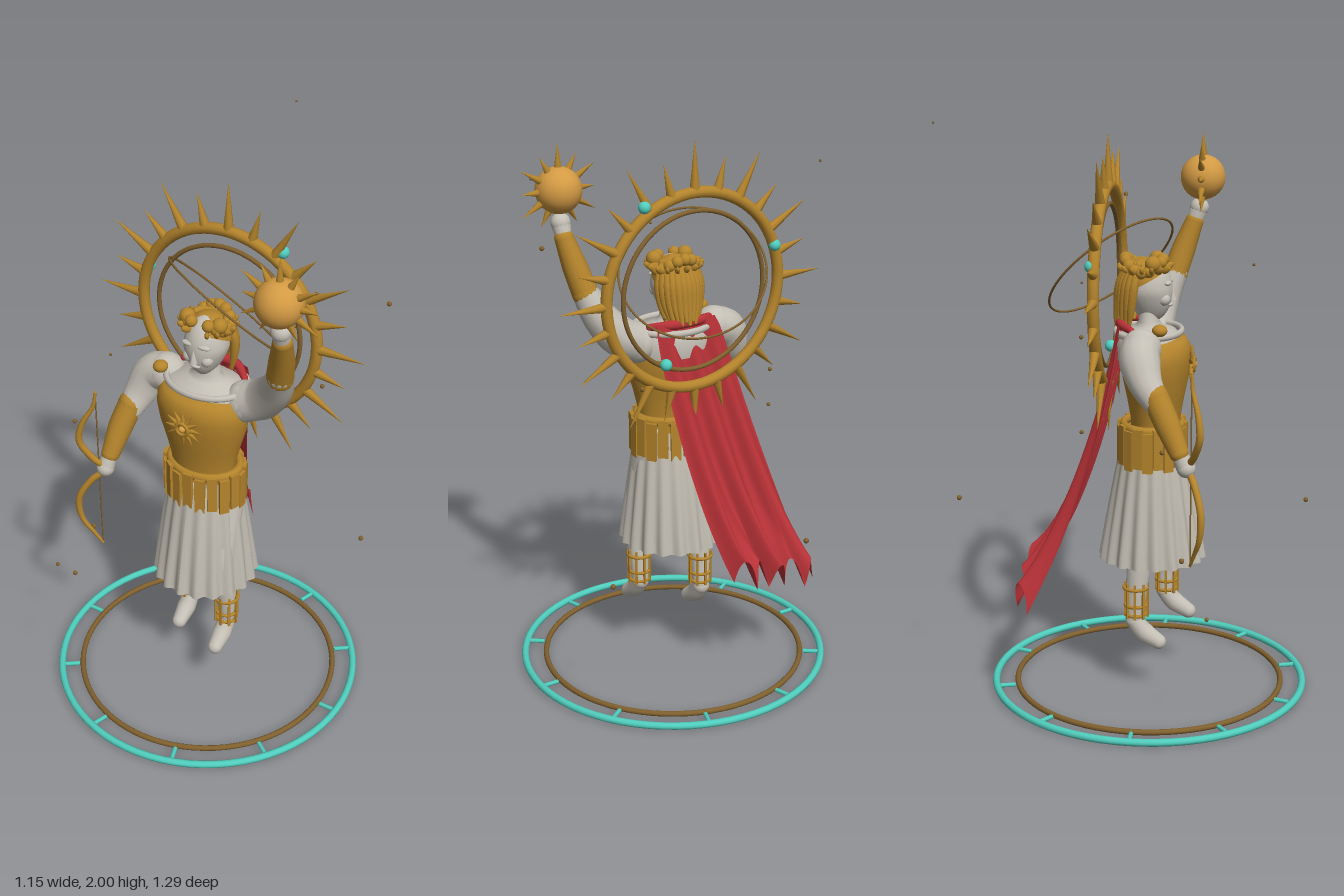
import * as THREE from 'three';

const mat = (name, color, side = THREE.FrontSide) => {
  const m = new THREE.MeshStandardMaterial({ color, side });
  m.name = name;
  return m;
};
const V = (x, y, z) => new THREE.Vector3(x, y, z);

export function createModel() {
  const gold = mat('gold', 0xb4842c), bright = mat('bright gold', 0xd39a44);
  const bronze = mat('bronze', 0x80602e), teal = mat('turquoise', 0x50cdbd);
  const marble = mat('marble', 0xc4bfb5), cloth = mat('marble cloth', 0xc0bbb0, THREE.DoubleSide);
  const red = mat('red cloth', 0xb83237, THREE.DoubleSide);
  const root = new THREE.Group();

  const add = (name, geo, m, p = [0, 0, 0], s = [1, 1, 1], r = [0, 0, 0], parent = root) => {
    const mesh = new THREE.Mesh(geo, m);
    mesh.name = name;
    mesh.position.set(...p);
    mesh.scale.set(...s);
    mesh.rotation.set(...r);
    parent.add(mesh);
    return mesh;
  };
  const ball = (name, m, p, r, s = [1, 1, 1]) => add(name, new THREE.SphereGeometry(r, 24, 16), m, p, s);
  const ring = (name, m, p, R, t, r = [0, 0, 0], s = [1, 1, 1]) =>
    add(name, new THREE.TorusGeometry(R, t, 10, 72), m, p, s, r);
  const lathe = (name, m, pts, p, s) =>
    add(name, new THREE.LatheGeometry(pts.map(q => new THREE.Vector2(...q)), 48), m, p, s);
  // Tube along points whose radius changes from point to point, with rounded ends
  const limb = (name, m, pts, radii, seg = 24) => {
    const curve = new THREE.CatmullRomCurve3(pts.map(q => V(...q)));
    const geo = new THREE.TubeGeometry(curve, seg, 1, 14);
    const pos = geo.attributes.position, v = V(), last = radii.length - 1;
    for (let i = 0; i < pos.count; i++) {
      const t = Math.floor(i / 15) / seg, c = curve.getPointAt(t);
      const k = Math.min(Math.floor(t * last), last - 1);
      const r = THREE.MathUtils.lerp(radii[k], radii[k + 1], t * last - k);
      v.fromBufferAttribute(pos, i).sub(c).multiplyScalar(r).add(c);
      pos.setXYZ(i, v.x, v.y, v.z);
    }
    add(name, geo, m);
    ball(name + 'Start', m, pts[0], radii[0]);
    ball(name + 'End', m, pts[pts.length - 1], radii[last]);
  };
  // Cones pointing outwards in the xy plane
  const spikes = (name, m, c, n, r0, len, rad) => {
    for (let i = 0; i < n; i++) {
      const a = Math.PI / 2 + i / n * Math.PI * 2, l = len(i), d = r0 + l / 2;
      add(name, new THREE.ConeGeometry(rad, l, 8), m,
        [c[0] + Math.cos(a) * d, c[1] + Math.sin(a) * d, c[2]], [1, 1, 1], [0, 0, a - Math.PI / 2]);
    }
  };
  const X = -0.01, Z = 0.09, flat = [Math.PI / 2, 0, 0];

  // Ground rings with ten spokes
  ring('outerGroundRing', teal, [-0.012, 0.016, 0.08], 0.553, 0.013, flat);
  ring('innerGroundRing', bronze, [-0.012, 0.016, 0.08], 0.475, 0.01, flat);
  for (let i = 0; i < 10; i++) {
    const a = i * Math.PI / 5;
    add('groundSpoke', new THREE.CylinderGeometry(0.008, 0.008, 0.065, 8), teal,
      [-0.012 + Math.cos(a) * 0.52, 0.016, 0.08 + Math.sin(a) * 0.52], [1, 1, 1], [0, -a, Math.PI / 2]);
  }

  // Halo with spikes, beads and a tilted orbit
  const halo = [-0.012, 1.45, -0.065];
  ring('haloRing', gold, halo, 0.34, 0.02);
  ring('haloInnerRing', bronze, halo, 0.277, 0.008);
  spikes('haloSpike', gold, halo, 24, 0.345, i => (i % 2 ? 0.12 : 0.175), 0.018);
  [[0.187, 1.767], [-0.33, 1.566], [0.107, 1.21]].forEach(([x, y]) => ball('haloBead', teal, [x, y, -0.075], 0.021));
  ring('orbitRing', bronze, [-0.01, 1.515, -0.055], 0.25, 0.004)
    .quaternion.setFromUnitVectors(V(0, 0, 1), V(0.38, 0.71, -0.6).normalize());

  // Torso, neck and collar
  lathe('cuirass', gold, [[0.118, 0.93], [0.12, 0.99], [0.137, 1.06], [0.16, 1.14], [0.17, 1.2], [0.166, 1.24], [0.145, 1.27], [0.1, 1.28]],
    [X, 0, Z + 0.01], [1, 1, 0.72]);
  lathe('upperChest', marble, [[0.15, 1.2], [0.16, 1.26], [0.13, 1.295], [0.07, 1.31], [0.05, 1.33], [0.046, 1.38]],
    [X, 0, 0.075], [1, 1, 0.72]);
  ring('collar', marble, [X, 1.295, 0.075], 0.145, 0.012, flat, [1, 0.78, 1]);
  ball('shoulderBrooch', gold, [-0.16, 1.325, 0.13], 0.026, [1, 0.8, 1]);

  // Chest sun emblem
  const sun = [-0.012, 1.18, 0.222];
  ring('emblemRing', gold, [sun[0], sun[1], 0.232], 0.022, 0.007);
  ball('emblemCentre', bright, [sun[0], sun[1], 0.232], 0.012);
  spikes('emblemRay', gold, [sun[0], sun[1], 0.225], 12, 0.028, () => 0.045, 0.009);

  // Belt and hanging straps
  ring('belt', gold, [X, 0.965, Z], 0.127, 0.016, flat, [1, 0.8, 1]);
  for (let i = 0; i < 20; i++) {
    const a = i / 20 * Math.PI * 2, low = i % 2 * 0.012;
    add('beltStrap', new THREE.BoxGeometry(0.036, 0.14, 0.014), gold,
      [X + Math.sin(a) * 0.146, 0.905 - low, Z + Math.cos(a) * 0.115], [1, 1, 1], [0, a, 0]);
  }

  // Pleated skirt, widening to a round hem, in two layers
  const skirt = (name, hem, width) => {
    const pts = Array.from({ length: 13 }, (_, i) => new THREE.Vector2(1, i / 12));
    const geo = new THREE.LatheGeometry(pts, 144), pos = geo.attributes.position;
    for (let i = 0; i < pos.count; i++) {
      const a = Math.atan2(pos.getX(i), pos.getZ(i)), t = 1 - pos.getY(i);
      const fold = 1 + (0.015 + 0.035 * t) * Math.cos(18 * a), grow = Math.pow(t, 0.85);
      pos.setXYZ(i, Math.sin(a) * fold * (0.128 + (width - 0.128) * grow), 0.92 - t * (0.92 - hem),
        Math.cos(a) * fold * (0.102 + (width - 0.102) * grow));
    }
    geo.computeVertexNormals();
    add(name, geo, cloth, [X, 0, Z]);
  };
  skirt('skirt', 0.48, 0.182);
  skirt('underSkirt', 0.5, 0.155);

  // Legs with drooping feet and strapped greaves
  [[-0.108, 0.05, 0], [0.102, 0.135, 0.04]].forEach(([x, z, up]) => {
    limb('leg', marble, [[x * 0.75, 0.85, 0.085], [x * 0.9, 0.58, z + 0.015], [x, 0.42, z], [x, 0.27 + up, z - 0.012]], [0.065, 0.055, 0.043, 0.03]);
    limb('foot', marble, [[x, 0.265 + up, z - 0.012], [x, 0.225 + up, z + 0.02], [x, 0.188 + up, z + 0.075]], [0.031, 0.035, 0.027], 12);
    [[0.29, 0.034], [0.325, 0.037], [0.39, 0.042]].forEach(([y, r]) =>
      ring('greaveBand', gold, [x, y + up * 0.6, z - 0.006], r, 0.006, flat));
    for (let i = 0; i < 8; i++) {
      const a = i * Math.PI / 4;
      add('greaveBar', new THREE.BoxGeometry(0.008, 0.13, 0.008), gold,
        [x + Math.sin(a) * 0.04, 0.345 + up * 0.6, z - 0.004 + Math.cos(a) * 0.04], [1, 1, 1], [0, a, 0]);
    }
  });

  // Lowered right arm and raised left arm
  limb('rightUpperArm', marble, [[-0.175, 1.265, 0.07], [-0.225, 1.245, 0.07], [-0.265, 1.17, 0.095], [-0.29, 1.1, 0.14]], [0.068, 0.069, 0.056, 0.042]);
  limb('rightBracer', gold, [[-0.285, 1.13, 0.13], [-0.305, 1.05, 0.17], [-0.323, 0.95, 0.215]], [0.045, 0.043, 0.033], 12);
  limb('rightHand', marble, [[-0.323, 0.945, 0.217], [-0.33, 0.9, 0.24]], [0.027, 0.032], 6);
  limb('leftUpperArm', marble, [[0.14, 1.255, 0.07], [0.2, 1.285, 0.07], [0.265, 1.36, 0.095], [0.303, 1.45, 0.135]], [0.072, 0.07, 0.058, 0.044]);
  limb('leftBracer', gold, [[0.3, 1.44, 0.13], [0.322, 1.53, 0.16], [0.342, 1.625, 0.195]], [0.046, 0.043, 0.033], 12);
  limb('leftHand', marble, [[0.342, 1.63, 0.197], [0.345, 1.675, 0.212]], [0.027, 0.034], 6);

  // Sun orb in the raised hand
  const orb = [0.343, 1.783, 0.224];
  ball('sunOrb', bright, orb, 0.08);
  spikes('orbSpike', gold, orb, 12, 0.072, i => (i % 2 ? 0.065 : 0.088), 0.014);

  // Recurved bow and its string
  const bend = [[1.225, 0], [1.17, 0.008], [1.09, 0.045], [1.02, 0.055], [0.95, 0.02], [0.9, -0.018],
    [0.85, 0.025], [0.77, 0.065], [0.68, 0.06], [0.61, 0.025], [0.565, 0]];
  limb('bow', gold, bend.map(([y, d]) => [-0.345 - d, y, 0.258 + d * 0.6]), [0.005, 0.012, 0.012, 0.012, 0.005], 60);
  add('bowString', new THREE.CylinderGeometry(0.0025, 0.0025, 0.66, 6), bronze, [-0.345, 0.895, 0.258]);

  // Head: sphere narrowed towards the chin
  const headGeo = new THREE.SphereGeometry(1, 32, 24), hp = headGeo.attributes.position;
  for (let i = 0; i < hp.count; i++) {
    const k = 1 - 0.35 * Math.max(0, -hp.getY(i));
    hp.setXYZ(i, hp.getX(i) * k, hp.getY(i), hp.getZ(i) * (hp.getZ(i) > 0 ? 1 : k));
  }
  headGeo.computeVertexNormals();
  add('head', headGeo, marble, [X, 1.435, 0.075], [0.076, 0.112, 0.082]);
  add('nose', new THREE.ConeGeometry(0.014, 0.05, 8), marble, [X, 1.43, 0.158]);
  for (const s of [-1, 1]) {
    ball('brow', marble, [X + s * 0.028, 1.466, 0.142], 0.022, [1.2, 0.4, 0.6]);
    ball('cheek', marble, [X + s * 0.034, 1.41, 0.13], 0.022);
  }
  ball('mouth', marble, [X, 1.388, 0.148], 0.014, [1.4, 0.5, 0.7]);

  // Hair cap, crown curls, laurel leaves and long back strands
  add('hairCap', new THREE.SphereGeometry(0.088, 28, 12, 0, Math.PI * 2, 0, Math.PI * 0.5), gold,
    [X, 1.465, 0.062], [0.92, 0.95, 0.95], [-0.5, 0, 0]);
  for (let i = 0; i < 15; i++) {
    const a = (i / 14 - 0.5) * Math.PI * 1.7 + Math.PI;
    ball('curl', gold, [X + Math.sin(a) * 0.072, 1.525 - 0.02 * Math.cos(a * 2 + Math.PI), 0.06 + Math.cos(a) * 0.066], 0.021);
    add('laurelLeaf', new THREE.SphereGeometry(0.024, 10, 8), gold,
      [X + Math.sin(a) * 0.085, 1.512, 0.065 + Math.cos(a) * 0.08], [0.35, 0.5, 1], [-0.5, a, 0, 'YXZ']);
  }
  for (const s of [-1, 1]) ball('frontCurl', gold, [X + s * 0.062, 1.535, 0.095], 0.027);
  for (let i = 0; i < 13; i++) {
    const a = Math.PI + (i / 12 - 0.5) * 2.6, x = Math.sin(a), z = Math.cos(a);
    limb('hairStrand', gold, [[X + x * 0.06, 1.53, 0.06 + z * 0.05], [X + x * 0.083, 1.46, 0.055 + z * 0.08],
      [X + x * 0.078, 1.39, 0.045 + z * 0.078], [X + x * 0.062, 1.325 + 0.012 * (i % 2), 0.035 + z * 0.075]], [0.012, 0.016, 0.015, 0.007], 12);
  }

  // Cape blown back to the right with folds and a torn hem
  const capeGeo = new THREE.PlaneGeometry(1, 1, 60, 24), cp = capeGeo.attributes.position;
  for (let i = 0; i < cp.count; i++) {
    const u = cp.getX(i) + 0.5, v = 0.5 - cp.getY(i);
    const tear = 0.1 * Math.abs(Math.sin(u * Math.PI * 5)) + 0.07 * u * u;
    const x = -0.015 - 0.19 * v + (u - 0.5) * (0.23 + 0.11 * Math.sqrt(v));
    const y = 1.33 - v * (0.96 - tear * v * v * v);
    const z = -0.015 - 0.13 * v - 0.175 * v * v + 0.025 * Math.min(1, 0.25 + v) * Math.cos(u * Math.PI * 6);
    cp.setXYZ(i, x, y, z);
  }
  capeGeo.computeVertexNormals();
  add('cape', capeGeo, red);
  limb('capeCollar', red, [[-0.13, 1.315, 0.03], [-0.06, 1.325, -0.015], [0.05, 1.325, -0.015], [0.11, 1.315, 0.03]], [0.012, 0.018, 0.018, 0.012]);

  // Drifting sparks
  [[-0.09, 2, -0.645, 4], [0.456, 1.84, 0.2, 5], [0.567, 1.69, -0.085, 8], [-0.5, 1, 0.18, 8], [-0.505, 0.44, 0.33, 7],
    [0.435, 0.545, -0.27, 9], [-0.4, 0.6, 0.235, 9], [-0.19, 0.765, 0.633, 8], [-0.14, 1.553, 0.44, 5],
    [-0.13, 0.7, -0.58, 9], [0.28, 1.2, -0.21, 8], [-0.29, 1, -0.115, 7], [0.18, 1.42, -0.19, 5]]
    .forEach(([x, y, z, r]) => ball('spark', bronze, [x, y, z], r / 1000));
  return root;
}
